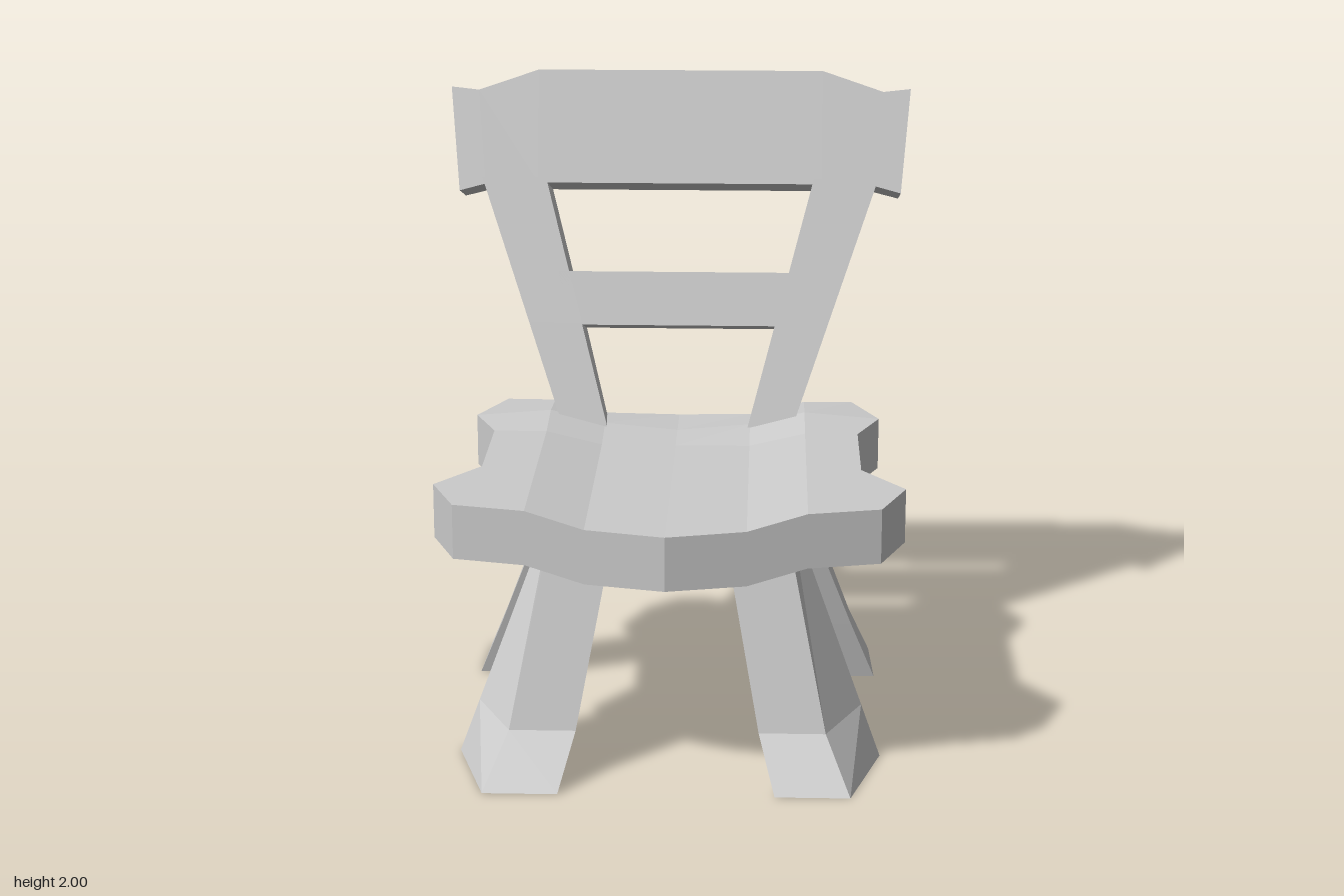
import * as THREE from 'three';

const material = new THREE.MeshStandardMaterial({ color: 0xcccccc, flatShading: true });

// Closed solid through a row of rings; each ring lists its near side, then its far side reversed.
function loft(name, rings) {
  const tris = [];
  const quad = (a, b, c, d) => tris.push([a, b, c], [a, c, d]);
  const n = rings[0].length;
  for (let r = 0; r < rings.length - 1; r++) {
    for (let i = 0; i < n; i++) {
      const j = (i + 1) % n;
      quad(rings[r][i], rings[r][j], rings[r + 1][j], rings[r + 1][i]);
    }
  }
  const first = rings[0], last = rings[rings.length - 1];
  for (let i = 0; i < n / 2 - 1; i++) {
    const j = n - 1 - i;
    quad(first[j], first[j - 1], first[i + 1], first[i]);
    quad(last[i], last[i + 1], last[j - 1], last[j]);
  }
  // Turn the faces outward whatever the ring direction
  let volume = 0;
  for (const [a, b, c] of tris) {
    volume += new THREE.Vector3(...a).dot(new THREE.Vector3(...b).cross(new THREE.Vector3(...c)));
  }
  if (volume < 0) tris.forEach((t) => t.reverse());
  const geometry = new THREE.BufferGeometry();
  geometry.setAttribute('position', new THREE.Float32BufferAttribute(tris.flat(2), 3));
  geometry.computeVertexNormals();
  const mesh = new THREE.Mesh(geometry, material);
  mesh.name = name;
  return mesh;
}

const mirrorX = (rings, side) => rings.map((ring) => ring.map(([x, y, z]) => [x * side, y, z]));

// Dished seat slab with a wavy outline
function createSeat() {
  // z, half width, extra z at the centre, height of the ridge in front of the posts
  const rows = [
    [0.68, 0.64, 0.15, 0], [0.48, 0.72, 0.08, 0], [0.29, 0.59, 0, 0],
    [-0.1, 0.59, 0, 0], [-0.28, 0.665, 0, 0.02], [-0.48, 0.58, 0.015, 0],
  ];
  const thickness = 0.17;
  const rings = rows.map(([z, w, bulge, ridge]) => {
    const columns = [[-w, 0.895], [-0.42, 0.895 + ridge], [-0.24, 0.852 + ridge], [0, 0.85],
      [0.24, 0.852 + ridge], [0.42, 0.895 + ridge], [w, 0.895]];
    const depth = (x) => z + bulge * (1 - Math.abs(x) / w);
    const top = columns.map(([x, y]) => [x, y, depth(x)]);
    const bottom = columns.map(([x, y]) => [x, (Math.abs(x) < 0.3 ? 0.852 : 0.895) - thickness, depth(x)]);
    return [...top, ...bottom.reverse()];
  });
  return loft('seat', rings);
}

// Splayed legs with flared feet: corners are inner front, outer front, outer back, inner back
const level = (y, ...corners) => corners.map(([x, z]) => [x, y, z]);
const frontLeg = [
  level(0, [0.33, 0.76], [0.56, 0.76], [0.66, 0.43], [0.45, 0.43]),
  level(0.16, [0.28, 0.645], [0.485, 0.645], [0.6, 0.4], [0.39, 0.4]),
  level(0.77, [0.165, 0.48], [0.36, 0.48], [0.37, 0.285], [0.18, 0.285]),
];
const backLeg = [
  level(0, [0.43, -0.24], [0.665, -0.24], [0.655, -0.5], [0.43, -0.5]),
  level(0.2, [0.36, -0.2], [0.585, -0.2], [0.58, -0.355], [0.36, -0.355]),
  level(0.77, [0.18, -0.09], [0.37, -0.09], [0.37, -0.285], [0.18, -0.285]),
];

// Backrest, modelled upright with its front at z = 0 and then leaned back
function createBackrest() {
  const back = new THREE.Group();
  back.name = 'backrest';

  // Posts: height, inner x, outer x, inner depth, outer depth
  const post = [
    [-0.06, 0.225, 0.37, 0.17, 0.17], [0.31, 0.32, 0.494, 0.24, 0.236], [0.79, 0.443, 0.655, 0.24, 0.21],
  ].map(([y, xi, xo, di, d]) => [[xi, y, 0], [xo, y, 0], [xo, y, -d], [xi, y, -di]]);
  back.add(loft('leftPost', post), loft('rightPost', mirrorX(post, -1)));

  // Top rail: top x, bottom x, top height, bottom height, depth; thinner toward the ears
  const half = [
    [0.76, 0.73, 1.09, 0.745, 0.19], [0.67, 0.645, 1.08, 0.768, 0.206], [0.47, 0.47, 1.148, 0.773, 0.24],
  ].map(([xt, xb, t, b, d]) => [[xt, t, 0], [xt, t, -d], [xb, b, -d], [xb, b, 0]]);
  back.add(loft('topRail', [...half, ...mirrorX(half, -1).reverse()]));

  // Middle rail, ending inside the posts
  const slat = [-1, 1].map((s) => [
    [s * 0.4, 0.48, 0], [s * 0.4, 0.48, -0.235], [s * 0.36, 0.303, -0.235], [s * 0.36, 0.303, 0],
  ]);
  back.add(loft('middleRail', slat));

  back.position.set(0, 0.9, -0.26);
  back.rotation.x = -Math.atan(0.3);
  return back;
}

export function createModel() {
  const chair = new THREE.Group();
  chair.name = 'chair';
  chair.add(createSeat(), createBackrest());
  for (const [side, label] of [[1, 'Left'], [-1, 'Right']]) {
    chair.add(loft('front' + label + 'Leg', mirrorX(frontLeg, side)));
    chair.add(loft('back' + label + 'Leg', mirrorX(backLeg, side)));
  }
  return chair;
}
